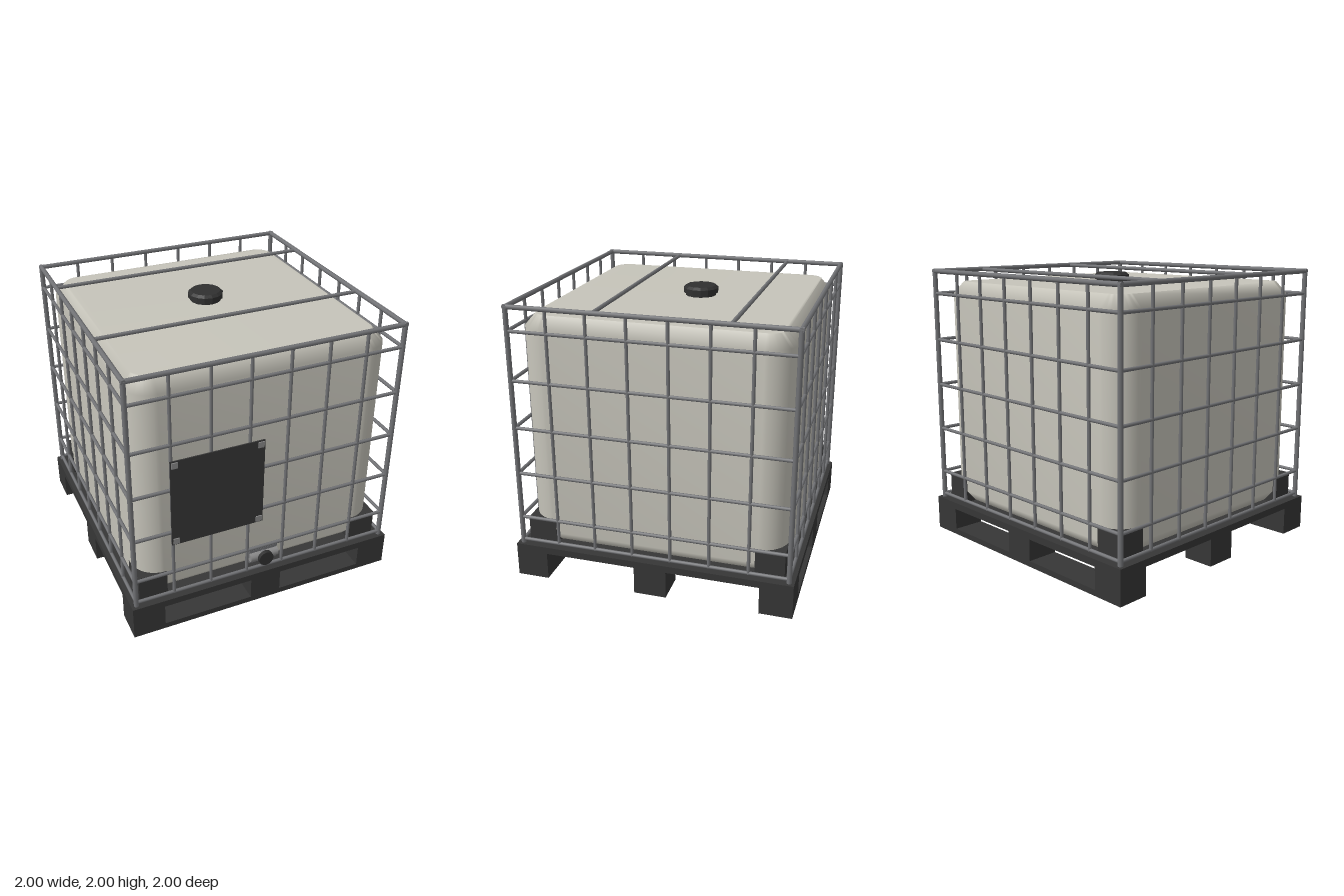
import * as THREE from 'three';
import { mergeVertices } from 'three/addons/utils/BufferGeometryUtils.js';

function mat(name, color) {
  const m = new THREE.MeshStandardMaterial({ color });
  m.name = name;
  return m;
}

export function createModel() {
  const model = new THREE.Group();
  model.name = 'cagedTank';
  const palletMat = mat('charcoal plastic', 0x363636);
  const tankMat = mat('milky plastic', 0xc6c4ba);
  const steelMat = mat('galvanised steel', 0x727376);
  const clipMat = mat('light grey metal', 0x8a8a8a);
  const capMat = mat('black plastic', 0x303030);

  function group(name) {
    const g = new THREE.Group();
    g.name = name;
    model.add(g);
    return g;
  }
  function add(parent, name, geometry, material, x = 0, y = 0, z = 0) {
    const m = new THREE.Mesh(geometry, material);
    m.name = name;
    m.position.set(x, y, z);
    parent.add(m);
    return m;
  }
  function box(parent, name, material, w, h, d, x, y, z) {
    return add(parent, name, new THREE.BoxGeometry(w, h, d), material, x, y, z);
  }
  // Round bar between two points
  function rod(parent, name, a, b, r) {
    const p = new THREE.Vector3(...a), q = new THREE.Vector3(...b);
    const dir = q.clone().sub(p);
    const m = add(parent, name, new THREE.CylinderGeometry(r, r, dir.length(), 8), steelMat);
    m.position.copy(p).add(q).multiplyScalar(0.5);
    m.quaternion.setFromUnitVectors(new THREE.Vector3(0, 1, 0), dir.normalize());
  }

  // Pallet: deck, nine feet, front and back runners
  const pallet = group('pallet');
  box(pallet, 'deck', palletMat, 2, 0.05, 2, 0, 0.225, 0);
  for (const z of [-0.885, 0, 0.885]) {
    for (const x of [-0.885, 0, 0.885]) box(pallet, 'foot', palletMat, 0.23, 0.2, 0.23, x, 0.1, z);
    if (z) box(pallet, 'runner', palletMat, 2, 0.042, 0.23, 0, 0.021, z);
  }

  // Tank: rounded square with a softly shaded chamfer
  const bevel = 0.075, half = 0.92 - bevel, r = 0.11, c = half - r;
  const outline = new THREE.Shape();
  outline.absarc(c, c, r, 0, Math.PI / 2);
  outline.absarc(-c, c, r, Math.PI / 2, Math.PI);
  outline.absarc(-c, -c, r, Math.PI, Math.PI * 1.5);
  outline.absarc(c, -c, r, Math.PI * 1.5, Math.PI * 2);
  outline.closePath();
  let tankGeo = new THREE.ExtrudeGeometry(outline, {
    depth: 1.66 - 2 * 0.085, bevelThickness: 0.085, bevelSize: bevel, bevelSegments: 1, curveSegments: 5,
  });
  tankGeo.rotateX(-Math.PI / 2);
  tankGeo.deleteAttribute('normal');
  tankGeo.deleteAttribute('uv');
  tankGeo = mergeVertices(tankGeo, 1e-4);
  tankGeo.computeVertexNormals();
  add(model, 'tank', tankGeo, tankMat, 0, 0.25 + 0.085, 0);

  // Corner blocks holding the tank on the pallet
  const corners = group('cornerBlocks');
  for (const x of [-1, 1]) for (const z of [-1, 1])
    box(corners, 'cornerBlock', palletMat, 0.205, 0.19, 0.205, x * 0.822, 0.345, z * 0.822);

  // Filler cap
  const profile = [[0.11, 0], [0.11, 0.025], [0.125, 0.025], [0.125, 0.058], [0.105, 0.075], [0, 0.075]];
  const capGeo = new THREE.LatheGeometry(profile.map(p => new THREE.Vector2(...p)), 14).toNonIndexed();
  capGeo.computeVertexNormals();
  add(model, 'fillerCap', capGeo, capMat, 0, 1.905, -0.085);

  // Cage: four identical sides
  const cage = group('cage');
  const e = 0.962;
  for (let i = 0; i < 4; i++) {
    const side = new THREE.Group();
    side.name = 'cageSide';
    side.rotation.y = i * Math.PI / 2;
    cage.add(side);
    rod(side, 'cornerPost', [e, 0.25, e], [e, 1.985, e], 0.018);
    rod(side, 'topRail', [-e - 0.015, 1.983, e], [e + 0.015, 1.983, e], 0.017);
    for (const y of [0.278, 0.457, 0.797, 1.137, 1.477, 1.82])
      rod(side, 'horizontalBar', [-e, y, e], [e, y, e], 0.0125);
    for (let k = 0; k < 6; k++) {
      const x = (k - 2.5) * 0.274;
      rod(side, 'verticalBar', [x, 0.27, e], [x, 1.98, e], 0.012);
    }
  }
  // Bars across the top
  for (const z of [-0.535, 0.365]) rod(cage, 'crossBar', [-e, 1.98, z], [e, 1.98, z], 0.014);

  // Sign plate with corner clips
  const sign = group('signPlate');
  box(sign, 'plate', palletMat, 0.66, 0.66, 0.009, -0.37, 1.038, 0.983);
  for (const x of [-1, 1]) for (const y of [-1, 1])
    box(sign, 'clip', clipMat, 0.043, 0.043, 0.009, -0.37 + x * 0.3, 1.038 + y * 0.3, 0.99);

  // Outlet valve
  const valve = group('outletValve');
  box(valve, 'housing', steelMat, 0.215, 0.11, 0.03, 0.002, 0.362, 0.925);
  const pipe = add(valve, 'pipe', new THREE.CylinderGeometry(0.034, 0.034, 0.215, 12), clipMat, 0.002, 0.36, 0.94);
  pipe.rotation.z = Math.PI / 2;
  const neck = add(valve, 'neck', new THREE.CylinderGeometry(0.04, 0.04, 0.07, 12), steelMat, 0, 0.36, 0.95);
  neck.rotation.x = Math.PI / 2;
  const plug = add(valve, 'plug', new THREE.CylinderGeometry(0.056, 0.056, 0.028, 14), capMat, 0, 0.36, 0.985);
  plug.rotation.x = Math.PI / 2;

  return model;
}
